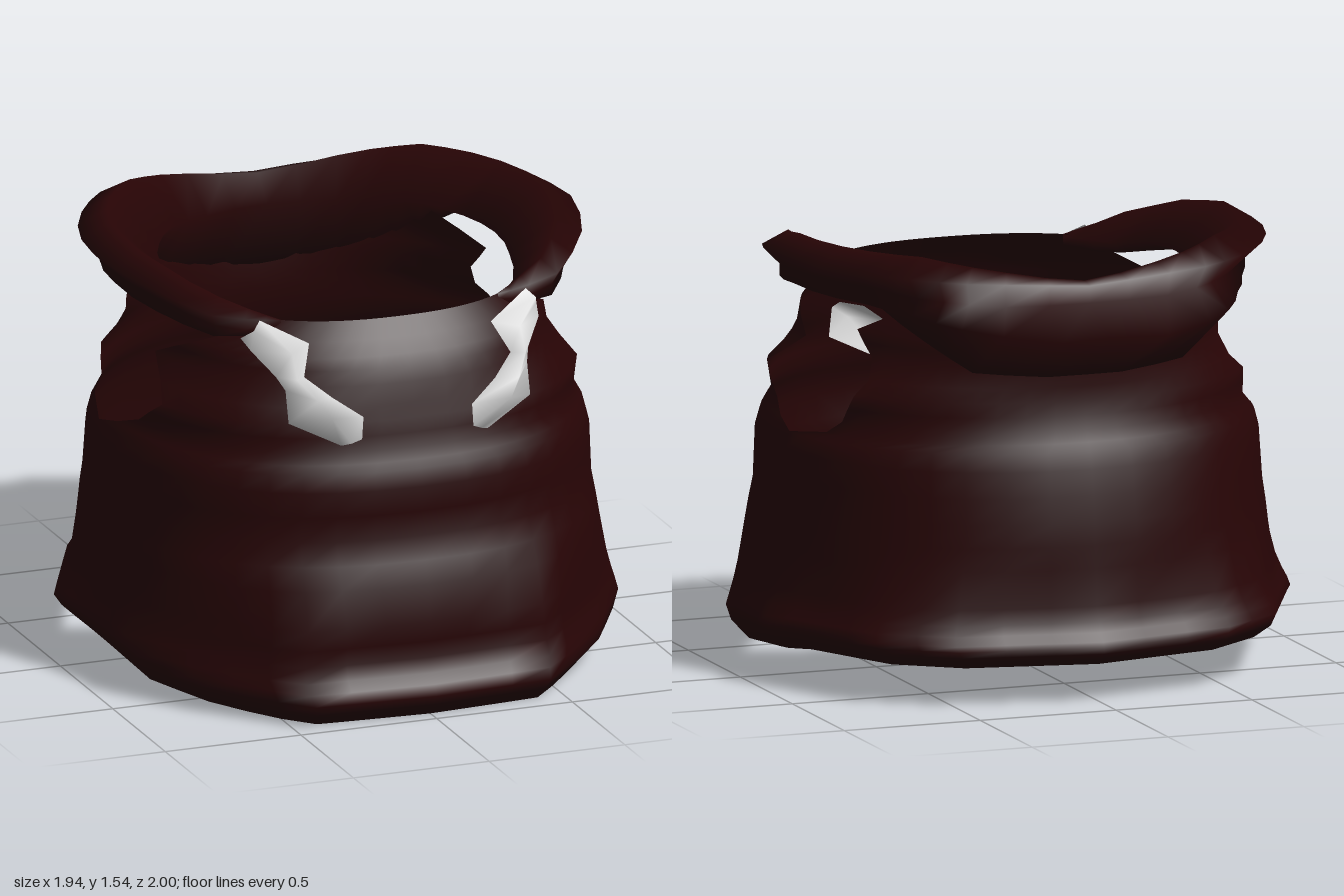
import * as THREE from 'three';
import { mergeGeometries, mergeVertices } from 'three/addons/utils/BufferGeometryUtils.js';

const cloth = new THREE.MeshStandardMaterial({ color: 0x270405, side: THREE.DoubleSide });
cloth.name = 'dark red cloth';
const pale = new THREE.MeshStandardMaterial({ color: 0xd2d2d2, side: THREE.DoubleSide });
pale.name = 'pale grey';

// Linear lookup in a table of rows [key, v1, v2, ...]
function lookup(table, key) {
  if (key <= table[0][0]) return table[0].slice(1);
  for (let i = 1; i < table.length; i++) {
    const a = table[i - 1], b = table[i];
    if (key <= b[0]) {
      const t = (key - a[0]) / (b[0] - a[0]);
      return a.slice(1).map((v, k) => v + (b[k + 1] - v) * t);
    }
  }
  return table[table.length - 1].slice(1);
}

// Skin a grid of points; rows run upwards, columns run counter-clockwise from above
function loft(rows) {
  const n = rows[0].length, index = [];
  for (let i = 0; i < rows.length - 1; i++) {
    for (let j = 0; j < n - 1; j++) {
      const a = i * n + j, b = a + 1, c = a + n, d = c + 1;
      index.push(a, b, d, a, d, c);
    }
  }
  const g = new THREE.BufferGeometry();
  g.setAttribute('position', new THREE.Float32BufferAttribute(rows.flat(2), 3));
  g.setIndex(index);
  return g;
}

function weld(geometries) {
  const g = mergeVertices(mergeGeometries(geometries), 1e-4);
  g.computeVertexNormals();
  return g;
}

function mesh(name, geometry, material) {
  const m = new THREE.Mesh(geometry, material);
  m.name = name;
  return m;
}

// Body outline: height, front depth, back depth, half width
const PROFILE = [
  [0, 0.94, 0.83, 0.88], [0.08, 1.0, 0.89, 0.94], [0.15, 0.95, 0.88, 0.97],
  [0.2, 0.93, 0.85, 0.96], [0.33, 0.94, 0.82, 0.92], [0.46, 0.92, 0.81, 0.89],
  [0.62, 0.86, 0.80, 0.865], [0.8, 0.87, 0.77, 0.855], [0.86, 0.85, 0.75, 0.84],
  [0.93, 0.82, 0.72, 0.80], [1.03, 0.80, 0.70, 0.82], [1.08, 0.785, 0.70, 0.76],
  [1.15, 0.77, 0.70, 0.71], [1.24, 0.73, 0.71, 0.70], [1.35, 0.65, 0.72, 0.63],
];
// Angular outline of the hem: angle from the front, x and z as shares of the half sizes
const HEM = [
  [0, 0, 1], [25, 0.46, 0.97], [51, 0.78, 0.65], [66, 0.93, 0.42],
  [99, 1, -0.16], [133, 0.76, -0.70], [150, 0.52, -0.89], [180, 0, -1],
];
const power = c => (c > 0 ? 0.85 : 0.98);

function bodyPoint(angle, y, inset) {
  const [front, back, side] = lookup(PROFILE, y);
  const c = Math.cos(angle), s = Math.sin(angle);
  const round = [Math.abs(s) ** power(c), Math.sign(c) * Math.abs(c) ** power(c)];
  const hem = lookup(HEM, Math.acos(c) * 180 / Math.PI);
  // angular at the hem, rounder above
  const t = THREE.MathUtils.smoothstep(y, 0.2, 0.55);
  const [ux, uz] = hem.map((v, k) => v + (round[k] - v) * t);
  const z = uz * (c > 0 ? front : back) * inset;
  // the hem rises towards the back
  const lift = Math.min(0.13, Math.max(0, (0.78 - z) * 0.13)) * Math.max(0, 1 - y / 0.3);
  return [Math.sign(s) * ux * side * inset, y + lift, z];
}

// Armhole edges: height, z of the front panel edge, z of the back panel edge
const ARMHOLE = [
  [0.86, -0.05, -0.05], [0.89, 0.08, -0.25], [0.93, 0.2, -0.29], [1.03, 0.36, -0.35],
  [1.1, 0.23, -0.35], [1.15, 0.14, -0.32], [1.24, 0.35, -0.24], [1.29, 0.45, -0.33],
  [1.35, 0.5, -0.43],
];

function edgeAngle(y, isFront) {
  const [front, back] = lookup(PROFILE, y);
  const z = lookup(ARMHOLE, y)[isFront ? 0 : 1];
  const r = z / (z > 0 ? front : back);
  return Math.acos(Math.sign(r) * Math.abs(r) ** (1 / power(r)));
}

// Column positions from the panel's middle to its edge, with one on each hem corner
const FRONT_STEPS = [0.09, 0.18, 0.27, 0.36, 0.45, 0.55, 0.63, 0.712, 0.8, 0.9, 1];
const BACK_STEPS = [0.115, 0.23, 0.344, 0.44, 0.54, 0.64, 0.74, 0.84, 0.928, 1];

function bodyPanel(isFront) {
  const heights = [0, 0.04, 0.08, 0.115, 0.15, 0.2, 0.26, 0.33, 0.46, 0.54, 0.62, 0.71, 0.8, 0.86,
    0.89, 0.93, 0.98, 1.03, 1.08, 1.15, 1.2, 1.24, 1.29, 1.35];
  const steps = isFront ? FRONT_STEPS : BACK_STEPS;
  const columns = [...steps.map(s => -s).reverse(), 0, ...steps];
  const row = (y, inset) => {
    const e = edgeAngle(y, isFront);
    const [middle, reach] = isFront ? [0, e] : [Math.PI, Math.PI - e];
    return columns.map(u => bodyPoint(middle + u * reach, y, inset));
  };
  // first row is the hem turned inwards
  return loft([row(0.07, 0.9), ...heights.map(y => row(y, 1))]);
}

// Collar sections: angle from the front, then radius and height of
// underside, outer lip, crease, roll, top and inner edge
const COLLAR = [
  [36, 0.68, 1.31, 0.68, 1.32, 0.68, 1.33, 0.68, 1.35, 0.675, 1.35, 0.67, 1.34],
  [45, 0.71, 1.29, 0.74, 1.30, 0.74, 1.32, 0.74, 1.36, 0.71, 1.39, 0.66, 1.34],
  [52, 0.73, 1.29, 0.79, 1.30, 0.79, 1.34, 0.81, 1.38, 0.75, 1.43, 0.65, 1.34],
  [70, 0.74, 1.33, 0.80, 1.34, 0.80, 1.39, 0.86, 1.45, 0.77, 1.50, 0.61, 1.37],
  [90, 0.74, 1.36, 0.80, 1.365, 0.82, 1.42, 0.88, 1.48, 0.78, 1.54, 0.60, 1.38],
  [120, 0.74, 1.35, 0.80, 1.36, 0.79, 1.42, 0.87, 1.48, 0.77, 1.54, 0.60, 1.38],
  [135, 0.74, 1.24, 0.85, 1.35, 0.80, 1.40, 0.87, 1.48, 0.76, 1.54, 0.61, 1.38],
  [148.5, 0.74, 1.14, 0.94, 1.33, 0.80, 1.39, 0.84, 1.47, 0.74, 1.51, 0.62, 1.37],
  [157.5, 0.72, 1.13, 0.995, 1.32, 0.78, 1.38, 0.79, 1.46, 0.72, 1.49, 0.62, 1.36],
  [169, 0.71, 1.12, 1.02, 1.30, 0.76, 1.38, 0.76, 1.45, 0.70, 1.465, 0.62, 1.36],
  [180, 0.70, 1.12, 0.97, 1.30, 0.75, 1.38, 0.75, 1.44, 0.70, 1.45, 0.62, 1.36],
];

function collarGeometry() {
  const half = [36, 40, 45, 52, 61, 70, 80, 90, 100, 110, 120, 128, 135, 142, 148.5, 157.5, 169];
  const angles = [...half, 180, ...half.map(a => 360 - a).reverse()];
  const rows = [0, 1, 2, 3, 4, 5, 0].map(k => angles.map(deg => {
    const s = lookup(COLLAR, deg > 180 ? 360 - deg : deg);
    const a = deg * Math.PI / 180, r = s[2 * k];
    return [r * Math.sin(a), s[2 * k + 1], r * Math.cos(a)];
  }));
  return weld([loft(rows)]);
}

// Chest patch: inner edge, ridge and outer edge, from bottom to top
const PATCH = [
  [[0.205, 0.98, 0.82], [0.24, 0.965, 0.81], [0.27, 0.955, 0.79]],
  [[0.20, 1.06, 0.82], [0.33, 1.08, 0.86], [0.445, 1.04, 0.74]],
  [[0.30, 1.13, 0.78], [0.37, 1.14, 0.83], [0.445, 1.15, 0.71]],
  [[0.38, 1.195, 0.72], [0.42, 1.20, 0.76], [0.465, 1.19, 0.67]],
  [[0.335, 1.29, 0.65], [0.42, 1.28, 0.71], [0.53, 1.27, 0.60]],
  [[0.49, 1.37, 0.58], [0.52, 1.34, 0.60], [0.545, 1.30, 0.54]],
];

function patchGeometry(side, rows, dz) {
  return weld([loft(rows.map(points => {
    const p = points.map(([x, y, z]) => [x * side, y, z + dz]);
    return side > 0 ? p : p.reverse();
  }))]);
}

export function createModel() {
  const model = new THREE.Group();
  model.name = 'sleevelessTop';
  model.add(mesh('body', weld([bodyPanel(true), bodyPanel(false)]), cloth));
  model.add(mesh('collar', collarGeometry(), cloth));
  // chest patches, with their backing on the inside of the body
  for (const [name, side] of [['left', 1], ['right', -1]]) {
    model.add(mesh(name + 'ChestPatch', patchGeometry(side, PATCH, 0), pale));
    model.add(mesh(name + 'PatchBacking', patchGeometry(side, PATCH.slice(0, 3), -0.14), pale));
  }
  return model;
}
